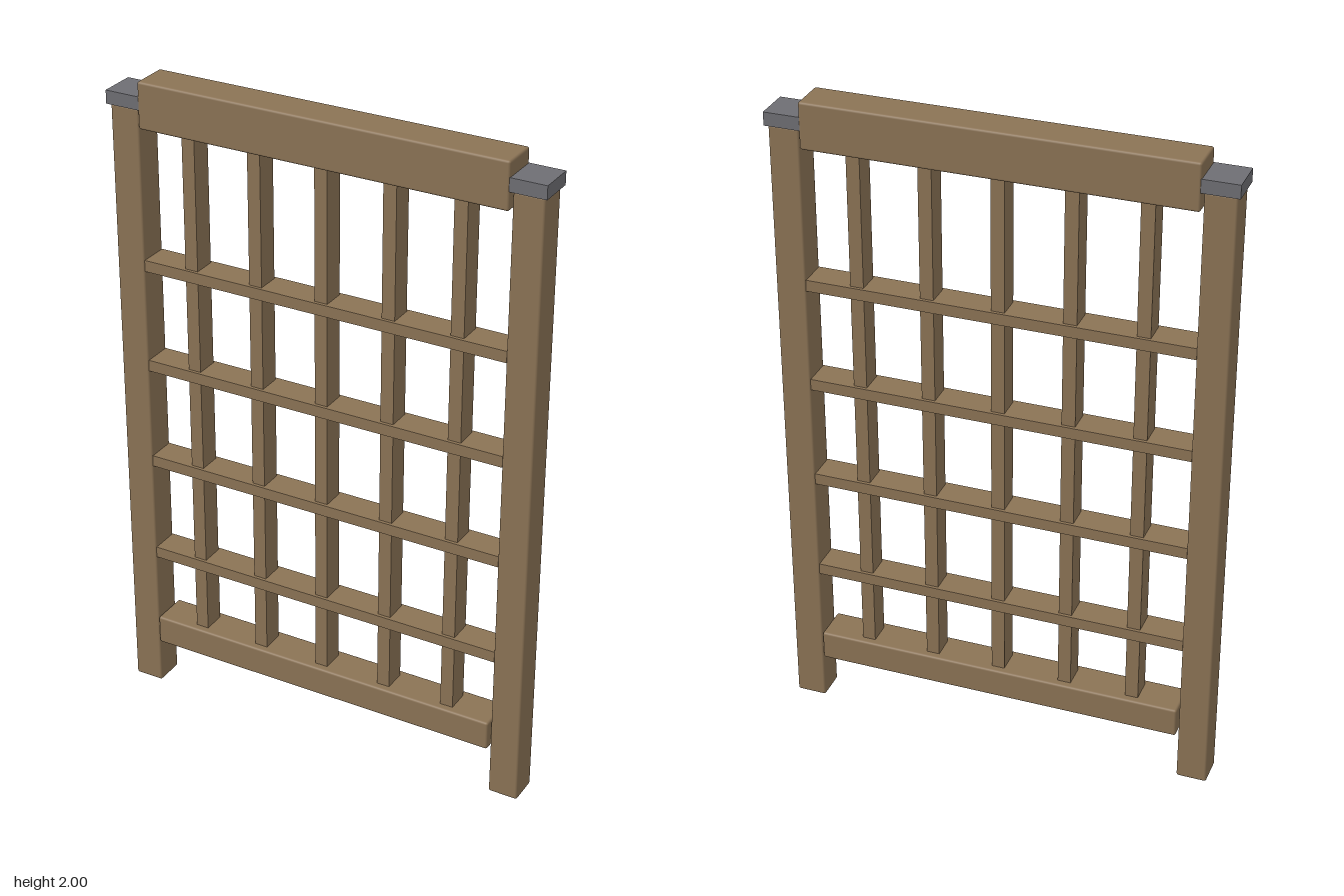
import * as THREE from 'three';
import { RoundedBoxGeometry } from 'three/addons/geometries/RoundedBoxGeometry.js';

export function createModel() {
  const model = new THREE.Group();
  model.name = 'trellis';

  const wood = new THREE.MeshStandardMaterial({ color: 0x8b7355 });
  wood.name = 'wood';
  const metal = new THREE.MeshStandardMaterial({ color: 0x6e6e73 });
  metal.name = 'grey metal';

  function add(name, geometry, material, x, y) {
    const mesh = new THREE.Mesh(geometry, material);
    mesh.name = name;
    mesh.position.set(x, y, 0);
    model.add(mesh);
  }
  const beam = (w, h, d) => new RoundedBoxGeometry(w, h, d, 2, 0.007);

  // Side posts with flat caps
  for (const [side, s] of [['left', 1], ['right', -1]]) {
    add(side + 'Post', beam(0.092, 1.915, 0.094), wood, s * 0.617, 0.9575);
    add(side + 'PostCap', new THREE.BoxGeometry(0.112, 0.04, 0.112), metal, s * 0.615, 1.935);
  }

  // Top and bottom rails
  add('topRail', beam(1.132, 0.14, 0.116), wood, 0, 1.93);
  add('bottomRail', beam(1.132, 0.092, 0.116), wood, 0, 0.2);

  // Upright lattice slats between the rails
  for (let i = -2; i <= 2; i++) {
    add('uprightSlat', new THREE.BoxGeometry(0.04, 1.63, 0.07), wood, i * 0.21, 1.055);
  }

  // Cross slats between the posts
  for (let i = 0; i < 4; i++) {
    add('crossSlat', new THREE.BoxGeometry(1.144, 0.035, 0.09), wood, 0, 0.474 + i * 0.321);
  }

  return model;
}
